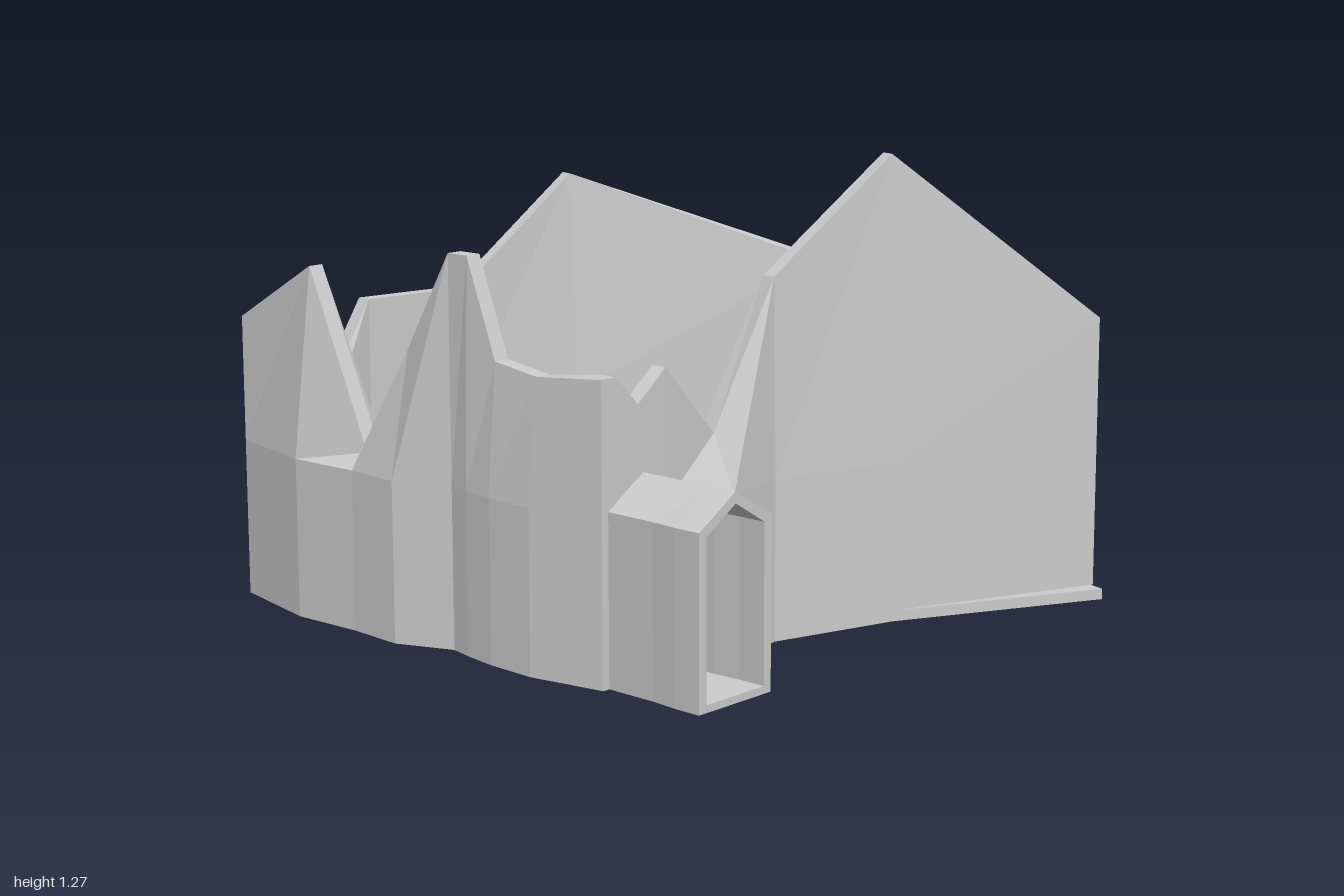
import * as THREE from 'three';

const FLOOR = 0.03, FOLD = 0.44, THICK = 0.045;

// Points along the top of each wall, anticlockwise from the front-left corner:
// [x, z, height, outward bulge of the outer foot, extra thickness of the inner foot]
const frontWall = [
  [-0.93, 0.5, 0.79], [-0.88, 0.5, 0.79], [-0.8, 0.5, 0.71], [-0.7, 0.5, 0.79],
  [-0.51, 0.49, 0.59, 0.075, 0.02], [-0.31, 0.52, 0.975, 0.01], [0.06, 0.61, 1.27, 0.03, 0.02],
];
const rightWall = [
  [0.64, 0.885, 0.79], [0.69, 0.66, 0.68, 0.01], [0.73, 0.53, 0.79, 0.035],
  [0.76, 0.38, 0.79, 0.035, 0.06], [0.81, 0.24, 0.955, 0.055], [0.865, 0.07, 0.955, 0.02, 0.03],
  [0.91, -0.13, 0.68, 0.01, 0.07], [0.945, -0.24, 0.79],
];
const backWall = [
  [0.99, -0.405, 0.79], [0.2, -0.765, 1.1, 0.065, 0.03], [-0.18, -0.835, 0.79, 0.01],
  [-0.51, -0.885, 0.79, 0.045], [-0.7, -0.885, 0.5, 0, 0.03], [-0.8, -0.885, 0.5, 0.04],
  [-0.9, -0.885, 0.78],
];
const leftWall = [
  [-0.935, -0.885, 0.79], [-0.935, -0.59, 0.96, 0.065], [-0.935, -0.37, 0.48, 0.055, 0.03],
  [-0.935, -0.2, 0.78, 0.065], [-0.935, -0.04, 1.05, 0, 0.05], [-0.935, 0.03, 1.05, 0.015, 0.03],
  [-0.935, 0.13, 0.79, 0.03], [-0.935, 0.28, 0.77, 0.035],
];
const stations = [...frontWall, ...rightWall, ...backWall, ...leftWall];

// Mitred offset of the wall line at station i, positive towards the courtyard
function inset(i, d) {
  const n = stations.length;
  const at = j => new THREE.Vector2(...stations[(j + n) % n].slice(0, 2));
  const p = at(i);
  const a = p.clone().sub(at(i - 1)).normalize();
  const b = at(i + 1).sub(p).normalize();
  const na = new THREE.Vector2(a.y, -a.x), nb = new THREE.Vector2(b.y, -b.x);
  const m = na.clone().add(nb).normalize();
  return p.addScaledVector(m, d / Math.max(0.6, m.dot(na)));
}

// Closed wall strip: outer foot, outer fold, top, inner fold, inner foot
function wallGeometry() {
  const rings = stations.map(([x, z, y, bulge = 0, extra = 0], i) => {
    const outer = inset(i, -bulge), top = inset(i, THICK), foot = inset(i, THICK + extra);
    return [
      [outer.x, FLOOR, outer.y], [outer.x, FOLD, outer.y], [x, y, z],
      [top.x, y, top.y], [foot.x, FOLD, foot.y], [foot.x, FLOOR, foot.y],
    ];
  });
  const pos = [];
  rings.forEach((r, i) => {
    const s = rings[(i + 1) % rings.length];
    for (let k = 0; k < r.length - 1; k++) {
      pos.push(...r[k], ...s[k], ...s[k + 1], ...r[k], ...s[k + 1], ...r[k + 1]);
    }
  });
  const g = new THREE.BufferGeometry();
  g.setAttribute('position', new THREE.Float32BufferAttribute(pos, 3));
  g.computeVertexNormals();
  return g;
}

// Ground slab, reaching a little past the front-right corner
function slabGeometry() {
  const pts = stations.map((s, i) => {
    const p = inset(i, -(s[3] ?? 0));
    return s === rightWall[0] ? new THREE.Vector2(0.62, -0.93) : new THREE.Vector2(p.x, -p.y);
  });
  const g = new THREE.ExtrudeGeometry(new THREE.Shape(pts), { depth: FLOOR, bevelEnabled: false });
  return g.rotateX(-Math.PI / 2);
}

// Gabled outline, centred on x = 0
function gable(Type, half, base, eaves, peak) {
  return new Type([[-half, base], [half, base], [half, eaves], [0, peak], [-half, eaves]]
    .map(p => new THREE.Vector2(...p)));
}

// Hollow porch, slightly narrower where it meets the wall
function porchGeometry() {
  const shape = gable(THREE.Shape, 0.132, 0, 0.455, 0.535);
  shape.holes.push(gable(THREE.Path, 0.106, 0.02, 0.44, 0.505));
  const g = new THREE.ExtrudeGeometry(shape, { depth: 0.32, steps: 4, bevelEnabled: false });
  const p = g.attributes.position;
  for (let i = 0; i < p.count; i++) {
    if (p.getZ(i) < 0.17) p.setX(i, p.getX(i) * 0.95);
  }
  g.computeVertexNormals();
  return g.translate(-0.783, 0, 0.49);
}

export function createModel() {
  const group = new THREE.Group();
  const material = new THREE.MeshStandardMaterial({
    color: 0xcccccc, flatShading: true, side: THREE.DoubleSide,
  });
  const add = (name, geometry) => {
    const mesh = new THREE.Mesh(geometry, material);
    mesh.name = name;
    group.add(mesh);
  };
  add('ruinedWalls', wallGeometry());
  add('floorSlab', slabGeometry());
  add('porch', porchGeometry());
  return group;
}
